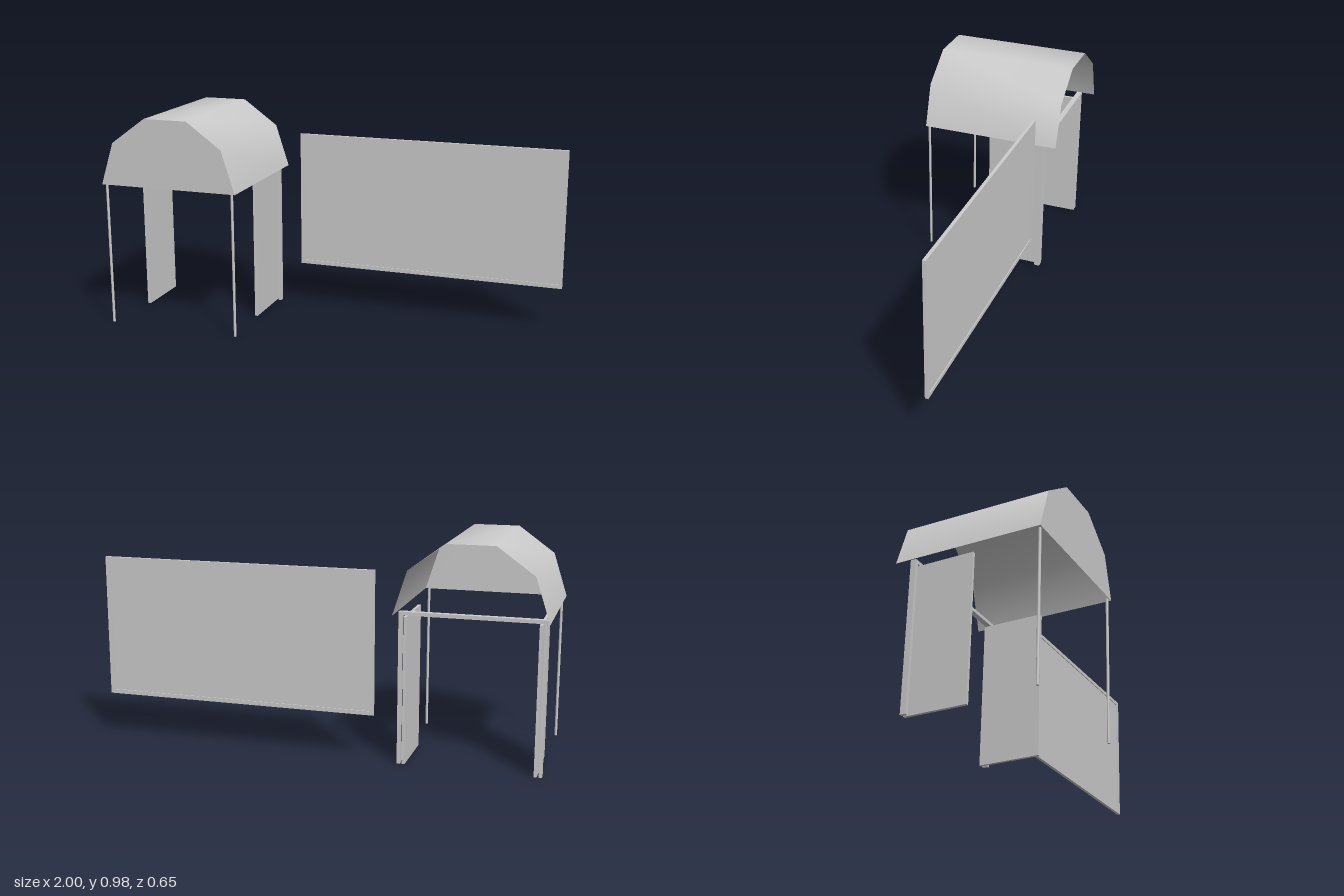
import * as THREE from 'three';

const material = new THREE.MeshStandardMaterial({ color: 0xcccccc });
const thin = new THREE.MeshStandardMaterial({ color: 0xcccccc, side: THREE.DoubleSide });

// Box given by its min and max along each axis
function box(name, [x0, x1], [y0, y1], [z0, z1]) {
  const mesh = new THREE.Mesh(new THREE.BoxGeometry(x1 - x0, y1 - y0, z1 - z0), material);
  mesh.position.set((x0 + x1) / 2, (y0 + y1) / 2, (z0 + z1) / 2);
  mesh.name = name;
  return mesh;
}

// Shelter, built around x = 0
function createShelter() {
  const group = new THREE.Group();
  group.name = 'shelter';
  const depth = 0.65;
  const profile = [[-0.325, 0.665], [-0.263, 0.858], [-0.102, 0.975], [0.102, 0.975], [0.263, 0.858], [0.325, 0.665]];

  // Roof: a sheet bent over the arch profile
  const sheet = new THREE.PlaneGeometry(1, depth, profile.length - 1, 1).rotateX(-Math.PI / 2);
  const pos = sheet.attributes.position;
  for (let i = 0; i < pos.count; i++) {
    const [x, y] = profile[i % profile.length];
    pos.setXYZ(i, x, y, pos.getZ(i));
  }
  sheet.computeVertexNormals();
  const roof = new THREE.Mesh(sheet, thin);
  roof.name = 'roof';

  // Closed front gable; the back stays open
  const shape = new THREE.Shape(profile.map(([x, y]) => new THREE.Vector2(x, y)));
  const gable = new THREE.Mesh(new THREE.ShapeGeometry(shape), thin);
  gable.position.z = depth / 2;
  gable.name = 'frontGable';
  group.add(roof, gable);

  // Posts, open doors and door jambs on both sides
  for (const s of [-1, 1]) {
    const side = s < 0 ? 'right' : 'left';
    const span = (a, b) => [Math.min(s * a, s * b), Math.max(s * a, s * b)];
    const post = new THREE.Mesh(new THREE.CylinderGeometry(0.006, 0.006, 0.657, 12), material);
    post.position.set(s * 0.306, 0.3365, 0.314);
    post.name = side + 'FrontPost';
    group.add(post);
    group.add(box(side + 'DoorJamb', span(0.297, 0.312), [0, 0.665], [-0.264, -0.239]));
    group.add(box(side + 'Door', span(0.277, 0.29), [0, 0.65], [-0.264, 0.012]));
  }
  group.add(box('doorHeader', [-0.312, 0.312], [0.656, 0.672], [-0.264, -0.239]));
  return group;
}

// Framed board with a recessed panel
function createBoard() {
  const group = new THREE.Group();
  group.name = 'board';
  const [x0, x1, y0, y1, w] = [-0.255, 1, 0.203, 0.84, 0.018];
  const z = [-0.255, -0.24];
  group.add(
    box('boardPanel', [x0 + w, x1 - w], [y0 + w, y1 - w], [-0.251, -0.244]),
    box('boardFrameTop', [x0, x1], [y1 - w, y1], z),
    box('boardFrameBottom', [x0, x1], [y0, y0 + w], z),
    box('boardFrameRight', [x0, x0 + w], [y0 + w, y1 - w], z),
    box('boardFrameLeft', [x1 - w, x1], [y0 + w, y1 - w], z),
  );
  return group;
}

export function createModel() {
  const model = new THREE.Group();
  model.name = 'shelterAndBoard';
  const shelter = createShelter();
  shelter.position.x = -0.675;
  model.add(shelter, createBoard());
  return model;
}
